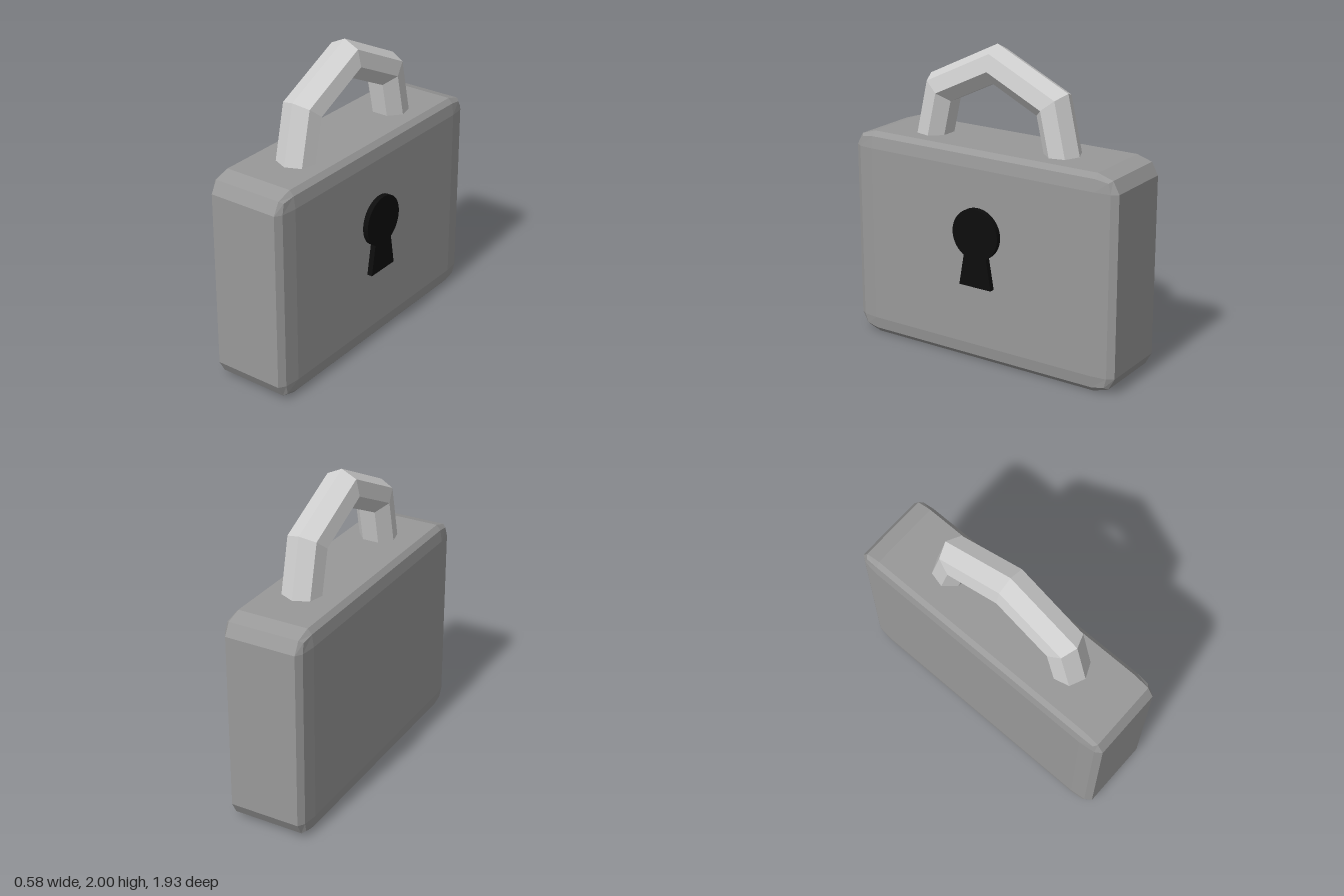
import * as THREE from 'three';
import { RoundedBoxGeometry } from 'three/addons/geometries/RoundedBoxGeometry.js';

function material(name, color) {
  const m = new THREE.MeshStandardMaterial({ color });
  m.name = name;
  m.flatShading = true;
  return m;
}

function addPart(group, name, geometry, mat, x, y, z) {
  const mesh = new THREE.Mesh(geometry, mat);
  mesh.name = name;
  mesh.position.set(x, y, z);
  group.add(mesh);
}

export function createModel() {
  const model = new THREE.Group();
  model.name = 'padlock';
  const bodyGrey = material('body grey', 0x999999);
  const shackleGrey = material('shackle light grey', 0xd0d0d0);
  const keyholeBlack = material('keyhole black', 0x0d0d0d);

  // Body: two-step bevel, with a different bevel width along each axis
  const size = [0.545, 1.38, 1.93];
  const bevel = [0.04, 0.11, 0.145];
  const body = new RoundedBoxGeometry(...size.map((s, i) => s / bevel[i]), 1, 1);
  body.scale(...bevel);
  body.computeVertexNormals();
  addPart(model, 'body', body, bodyGrey, -0.0175, 0.69, 0);

  // Shackle: four segments of a seven-sided ring, its ends sunk into the body
  const arc = (4 / 7) * Math.PI * 2;
  const shackle = new THREE.TorusGeometry(0.52, 0.126, 7, 4, arc);
  shackle.rotateZ(Math.PI / 2 - arc / 2);
  shackle.rotateY(Math.PI / 2);
  addPart(model, 'shackle', shackle, shackleGrey, 0.005, 1.354, 0.02);

  // Keyhole: round head with a flared slot, raised on the +x face
  const radius = 0.166;
  const neck = Math.PI / 3;
  const outline = new THREE.Shape();
  outline.moveTo(-0.118, -0.345);
  outline.lineTo(0.118, -0.345);
  outline.lineTo(radius * Math.cos(neck), -radius * Math.sin(neck));
  outline.absarc(0, 0, radius, -neck, Math.PI + neck, false);
  outline.closePath();
  const keyhole = new THREE.ExtrudeGeometry(outline, { depth: 0.045, bevelEnabled: false, curveSegments: 28 });
  keyhole.rotateY(Math.PI / 2);
  addPart(model, 'keyhole', keyhole, keyholeBlack, 0.245, 0.857, 0);

  return model;
}
